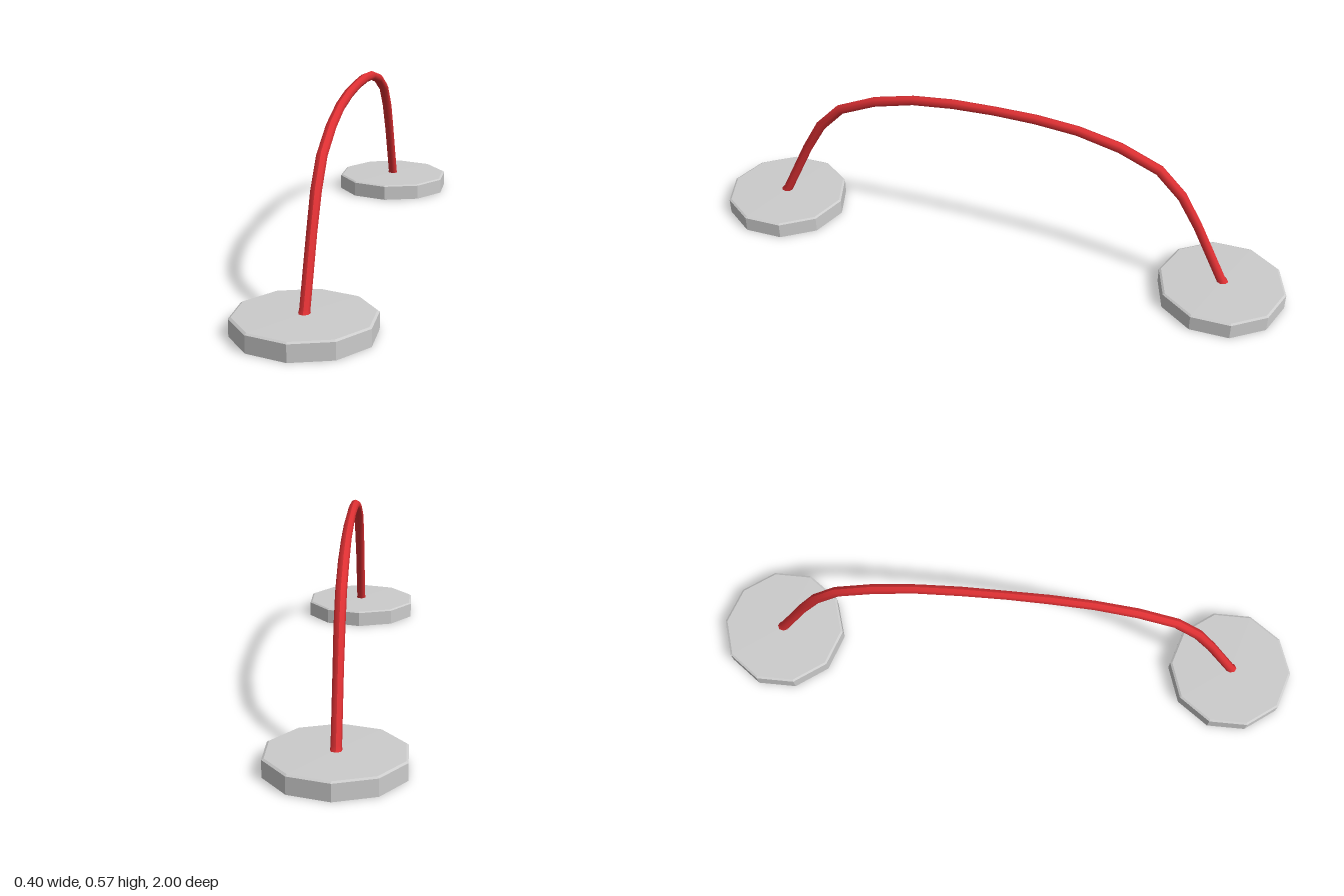
import * as THREE from 'three';

// Sweep an eight-sided capped tube along rows of [z, y, radius] in the plane x = 0
function sweep(rows) {
  const n = rows.length - 1;
  const geo = new THREE.CylinderGeometry(1, 1, 1, 8, n);
  const pos = geo.attributes.position;
  for (let i = 0; i < pos.count; i++) {
    const k = Math.round((pos.getY(i) + 0.5) * n);
    const [z, y, r] = rows[k];
    const a = rows[Math.max(k - 1, 0)], b = rows[Math.min(k + 1, n)];
    const len = Math.hypot(b[0] - a[0], b[1] - a[1]);
    const tz = (b[0] - a[0]) / len, ty = (b[1] - a[1]) / len;
    const off = pos.getZ(i) * r;
    pos.setXYZ(i, pos.getX(i) * r, y - tz * off, z + ty * off);
  }
  geo.computeVertexNormals();
  return geo;
}

export function createModel() {
  const model = new THREE.Group();
  const grey = new THREE.MeshStandardMaterial({ color: 0xcccccc, flatShading: true, side: THREE.DoubleSide });
  const red = new THREE.MeshStandardMaterial({ color: 0xdd3033 });

  // Ten-sided bases: shells open underneath, with a small bevel and a slightly raised middle
  const profile = [[0.21, 0], [0.21, 0.052], [0.203, 0.056], [0, 0.059]].map(p => new THREE.Vector2(...p));
  const baseGeo = new THREE.LatheGeometry(profile, 10);
  for (const side of [1, -1]) {
    const base = new THREE.Mesh(baseGeo, grey);
    base.name = side > 0 ? 'frontBase' : 'backBase';
    base.position.z = side * 0.79;
    model.add(base);
  }

  // Arched rod, mirrored front to back, flaring slightly where it enters the bases
  const half = [
    [0.793, 0.05, 0.02], [0.785, 0.066, 0.016], [0.69, 0.26, 0.016], [0.63, 0.364, 0.017],
    [0.55, 0.447, 0.017], [0.42, 0.504, 0.017], [0.28, 0.538, 0.016], [0.14, 0.552, 0.016],
  ];
  const rows = [...half, [0, 0.555, 0.015], ...half.map(([z, y, r]) => [-z, y, r]).reverse()];
  const rod = new THREE.Mesh(sweep(rows), red);
  rod.name = 'archRod';
  model.add(rod);

  return model;
}
